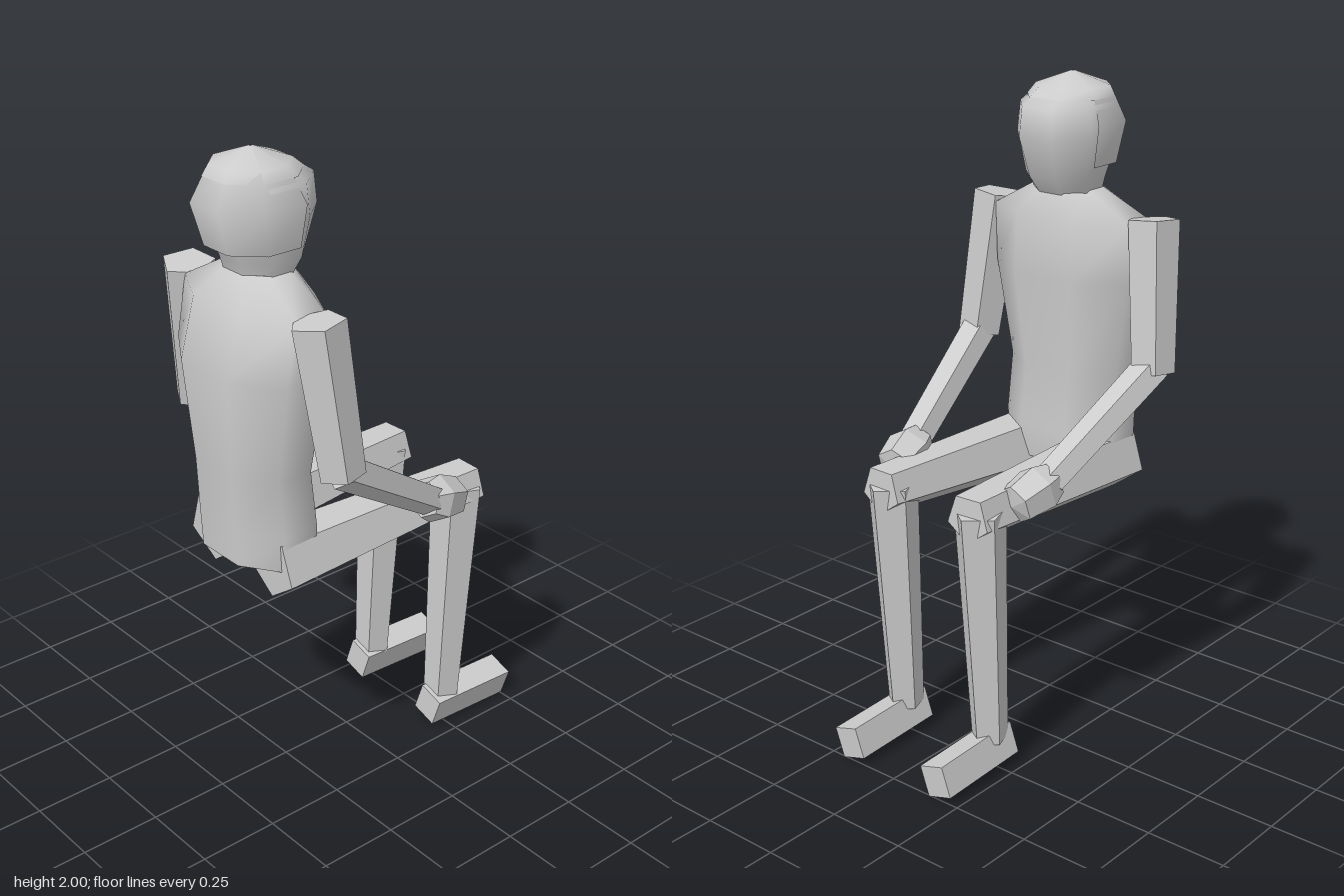
import * as THREE from 'three';

const smooth = new THREE.MeshStandardMaterial({ color: 0xcccccc });
const thin = new THREE.MeshStandardMaterial({ color: 0xcccccc, side: THREE.DoubleSide });
const flat = new THREE.MeshStandardMaterial({ color: 0xcccccc, flatShading: true });
const V = (x, y, z) => new THREE.Vector3(x, y, z);

// Skin through octagonal rings [y, halfWidth, zFront, zBack], listed bottom to top.
// Sides from..to are kept, counted round from the front (-z).
function loft(rings, from = 0, to = 8, caps = true) {
  const pos = [], idx = [];
  const k = 1 / Math.cos(Math.PI / 8);
  for (const [y, rx, zf, zb] of rings) {
    const cz = (zf + zb) / 2, rz = (zb - zf) / 2;
    for (let i = 0; i < 8; i++) {
      const a = (i - 0.5) * Math.PI / 4;
      pos.push(Math.sin(a) * rx * k, y, cz - Math.cos(a) * rz * k);
    }
  }
  for (let r = 0; r < rings.length - 1; r++) {
    for (let i = from; i < to; i++) {
      const a = r * 8 + i, b = r * 8 + (i + 1) % 8;
      idx.push(a, a + 8, b, b, a + 8, b + 8);
    }
  }
  if (caps) {
    // Caps get their own corners so their rims stay sharp
    for (const [r, up] of [[0, false], [rings.length - 1, true]]) {
      const base = pos.length / 3;
      pos.push(...pos.slice(r * 24, r * 24 + 24));
      for (let i = 1; i < 7; i++) {
        idx.push(base, ...(up ? [base + i + 1, base + i] : [base + i, base + i + 1]));
      }
    }
  }
  const g = new THREE.BufferGeometry();
  g.setAttribute('position', new THREE.Float32BufferAttribute(pos, 3));
  g.setIndex(idx);
  g.computeVertexNormals();
  return g;
}

// Place a y-up geometry with its axis along dir and its first corner towards hint
function orient(mesh, at, dir, hint) {
  const y = dir.clone().normalize();
  const z = hint.clone().addScaledVector(y, -hint.dot(y)).normalize();
  const x = V(0, 0, 0).crossVectors(y, z);
  mesh.quaternion.setFromRotationMatrix(new THREE.Matrix4().makeBasis(x, y, z));
  mesh.position.copy(at);
  return mesh;
}

// Five-sided limb from a (radius ra) to b (radius rb)
function limb(name, a, b, ra, rb, hint) {
  const dir = b.clone().sub(a);
  const mesh = new THREE.Mesh(new THREE.CylinderGeometry(rb, ra, dir.length(), 5), flat);
  mesh.name = name;
  return orient(mesh, a.clone().add(b).multiplyScalar(0.5), dir, hint);
}

export function createModel() {
  const model = new THREE.Group();
  model.name = 'seatedFigure';
  const add = (name, geometry, material) => {
    const mesh = new THREE.Mesh(geometry, material);
    mesh.name = name;
    model.add(mesh);
    return mesh;
  };

  add('torso', loft([
    [0.81, 0.2, 0.21, 0.475], [0.92, 0.205, 0.2, 0.48], [1.1, 0.2, 0.22, 0.49],
    [1.4, 0.25, 0.19, 0.51], [1.58, 0.25, 0.2, 0.46], [1.665, 0.1, 0.235, 0.4],
  ]), smooth);

  add('head', loft([
    [1.62, 0.09, 0.25, 0.39], [1.7, 0.115, 0.19, 0.41], [1.82, 0.14, 0.153, 0.465],
    [1.91, 0.13, 0.16, 0.455], [1.965, 0.085, 0.24, 0.42], [1.99, 0.01, 0.32, 0.34],
  ]), smooth);

  // Hair: a shell round the back and sides, closed over the crown
  add('hairBack', loft([
    [1.735, 0.13, 0.19, 0.455], [1.86, 0.15, 0.165, 0.49], [1.96, 0.105, 0.225, 0.44],
  ], 2, 7, false), thin);
  add('hairCrown', loft([
    [1.93, 0.121, 0.19, 0.457], [1.96, 0.105, 0.225, 0.44], [2, 0.004, 0.325, 0.335],
  ], 0, 8, false), thin);

  for (const [side, s] of [['left', 1], ['right', -1]]) {
    const p = (x, y, z) => V(s * x, y, z);
    const down = V(0, -1, 0);
    const elbow = p(0.335, 1.145, 0.3), wrist = p(0.262, 0.9, -0.1);

    // Arm
    model.add(limb(side + 'UpperArm', p(0.29, 1.595, 0.345), elbow, 0.08, 0.068, p(-1, 0, 0.2)));
    model.add(limb(side + 'Forearm', p(0.335, 1.16, 0.3), wrist, 0.056, 0.05, down));
    const hand = add(side + 'Hand', new THREE.LatheGeometry([
      [0, 0], [0.055, 0], [0.075, 0.05], [0.062, 0.14], [0, 0.155],
    ].map(([r, y]) => new THREE.Vector2(r, y)), 6), flat);
    orient(hand, p(0.257, 0.9, -0.085), p(-0.025, -0.045, -0.14), down);

    // Leg
    model.add(limb(side + 'Thigh', p(0.137, 0.81, 0.4), p(0.168, 0.838, -0.35), 0.107, 0.075, down));
    model.add(limb(side + 'LowerLeg', p(0.17, 0.848, -0.3), p(0.17, 0.1, -0.258), 0.08, 0.057, V(0, 0, -1)));

    // Feet lean the same way on both sides
    const foot = add(side + 'Foot', new THREE.BoxGeometry(0.088, 0.097, 0.312), flat);
    foot.position.set(s * 0.173, 0.069, -0.351);
    foot.rotation.set(-0.045, 0, -0.3);
  }
  return model;
}
